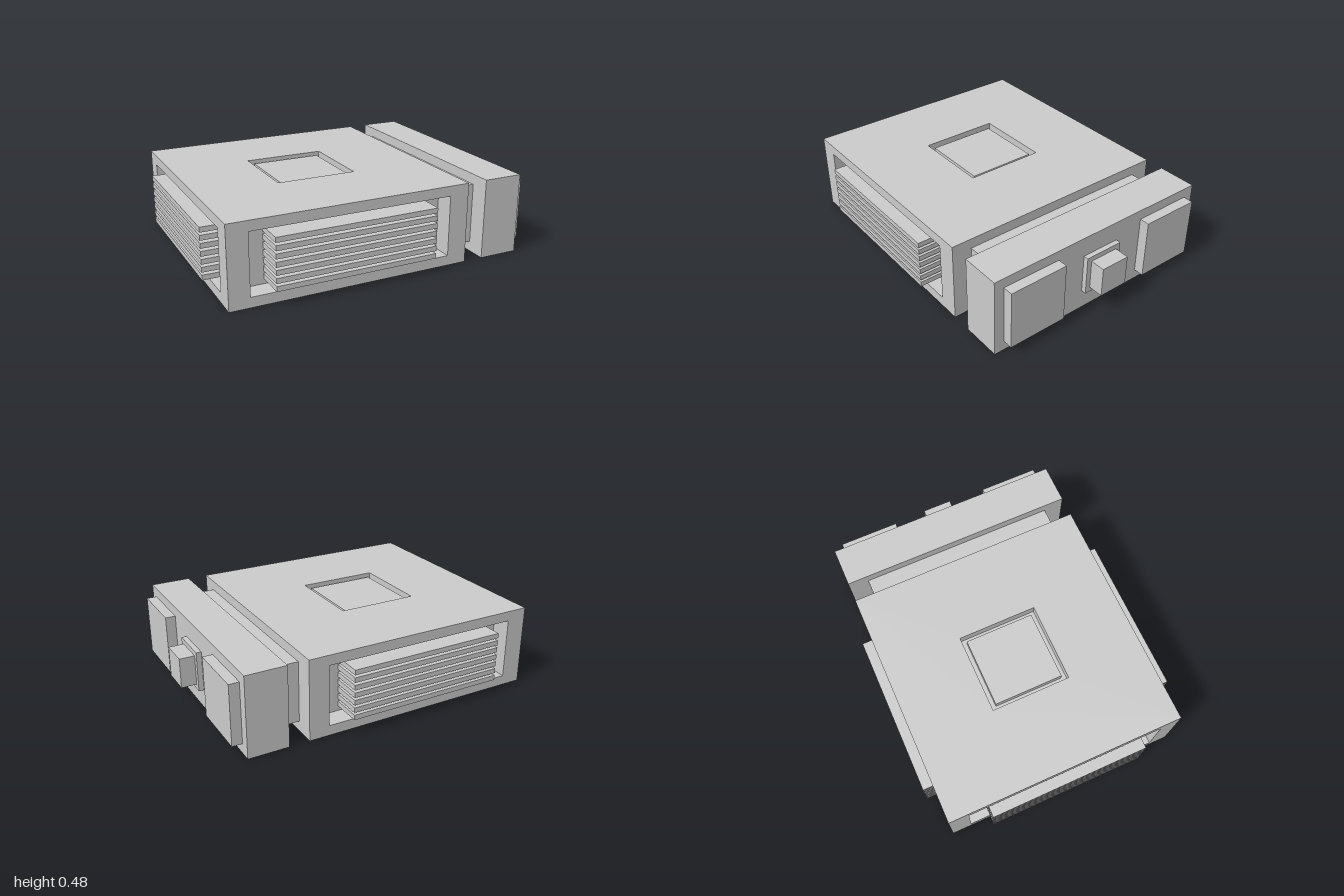
import * as THREE from 'three';

const U = 2 / 33; // one module of the design grid
const CX = -3.5;  // body centre along x, in modules
const mat = new THREE.MeshStandardMaterial({ color: 0xcccccc, flatShading: true });

function addMesh(parent, name, geometry) {
  const mesh = new THREE.Mesh(geometry, mat);
  mesh.name = name;
  parent.add(mesh);
  return mesh;
}

// box given by its extents in modules
function box(parent, name, x0, x1, y0, y1, z0, z1) {
  const mesh = addMesh(parent, name, new THREE.BoxGeometry(x1 - x0, y1 - y0, z1 - z0));
  mesh.position.set((x0 + x1) / 2, (y0 + y1) / 2, (z0 + z1) / 2);
  return mesh;
}

function square(Type, h) {
  return new Type([[-h, -h], [h, -h], [h, h], [-h, h]].map(([x, y]) => new THREE.Vector2(x, y)));
}

export function createModel() {
  const model = new THREE.Group();
  model.name = 'model';
  const root = new THREE.Group();
  root.scale.setScalar(U);
  model.add(root);

  // main body: inner core between two plates with corner posts
  const body = new THREE.Group();
  body.name = 'body';
  body.position.x = CX;
  root.add(body);
  box(body, 'core', -10, 10, 1, 7, -10, 10);
  for (const x of [-11, 11]) for (const z of [-11, 11])
    box(body, 'cornerPost', x - 1, x + 1, 1, 7, z - 1, z + 1);

  // top and bottom plates, each with a square opening and an inset panel
  const outline = square(THREE.Shape, 12);
  outline.holes.push(square(THREE.Path, 4));
  for (const [name, y] of [['bottom', 0], ['top', 7]]) {
    const geometry = new THREE.ExtrudeGeometry(outline, { depth: 1, bevelEnabled: false });
    geometry.rotateX(-Math.PI / 2);
    addMesh(body, name + 'Plate', geometry).position.y = y;
  }
  box(body, 'topInset', -3.5, 3.5, 7, 7.75, -3.5, 3.5);
  box(body, 'bottomInset', -3.5, 3.5, 0.25, 1, -3.5, 3.5);

  // cooling fins on the front, right-hand and back openings
  for (const [name, angle] of [['front', 0], ['right', -Math.PI / 2], ['back', Math.PI]]) {
    const fins = new THREE.Group();
    fins.name = name + 'Fins';
    fins.rotation.y = angle;
    body.add(fins);
    for (let i = 0; i < 7; i++) {
      const y = 4 + (i - 3) * 0.75;
      box(fins, 'fin', -8, 8, y - 0.25, y + 0.25, 10, 13);
    }
  }

  // neck and end block
  box(root, 'neck', 6.5, 10.5, 1, 7, -10, 10);
  box(root, 'endBlock', 10.5, 14.5, 0, 8, -12, 12);

  // pads and button on the end block
  box(root, 'frontPad', 14.5, 15.5, 1, 7, 5, 11);
  box(root, 'backPad', 14.5, 15.5, 1, 7, -11, -5);
  box(root, 'buttonBase', 14.5, 15, 2, 6, -2, 2);
  box(root, 'button', 15, 16.5, 2.5, 5.5, -1.5, 1.5);

  return model;
}
